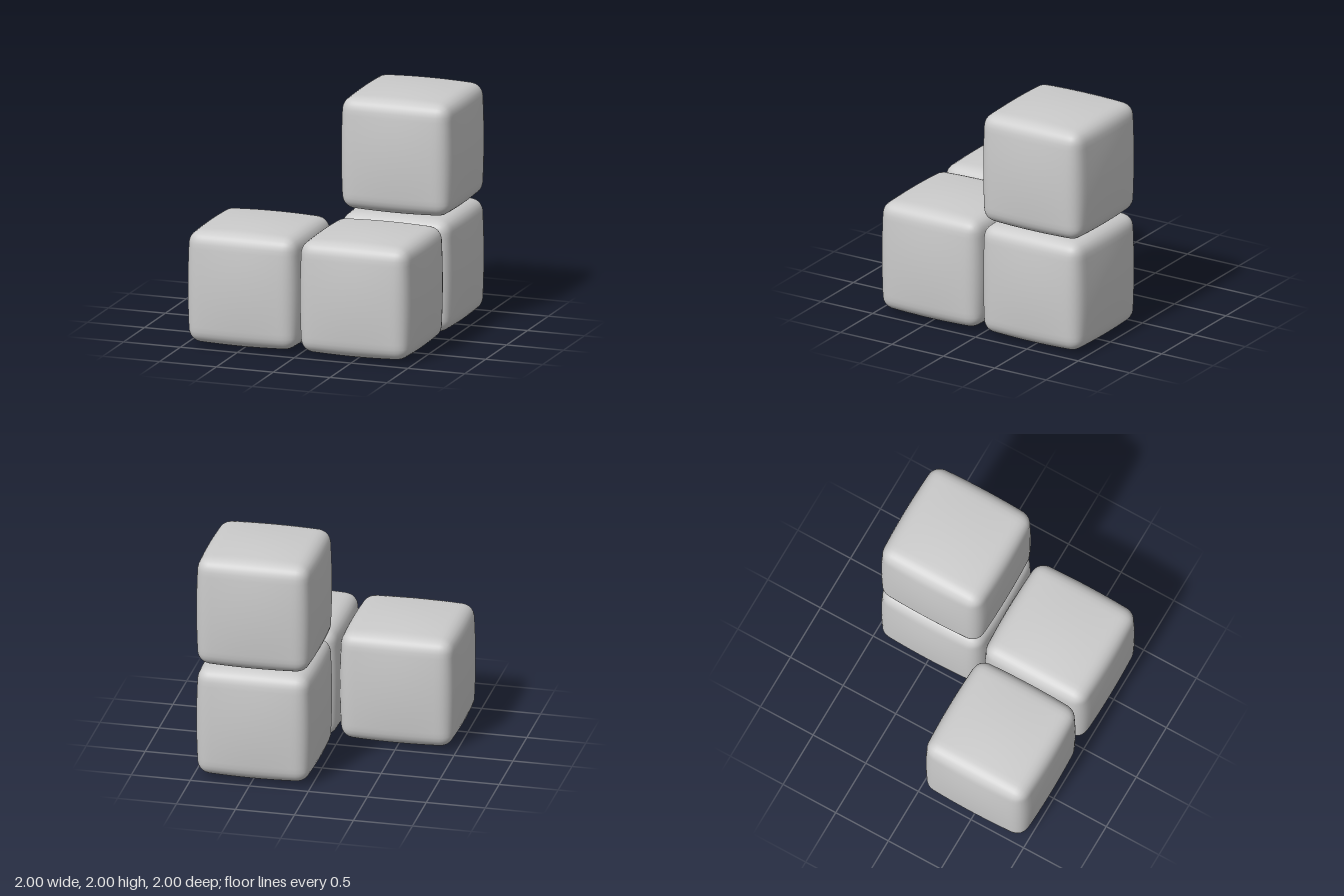
import * as THREE from 'three';
import { mergeVertices } from 'three/addons/utils/BufferGeometryUtils.js';

const HALF = 0.467;    // half size before the faces swell
const RADIUS = 0.1;    // edge rounding
const BULGE = 0.04;    // swelling at the middle of each face
const CENTRE = 0.493;  // distance of every block centre from the middle planes

// Soft cube: a rounded box whose faces swell outwards
function pillowCube() {
  let geo = new THREE.BoxGeometry(2, 2, 2, 24, 24, 24);
  geo.deleteAttribute('uv');
  geo.deleteAttribute('normal');
  geo = mergeVertices(geo, 1e-4);
  const pos = geo.attributes.position;
  const p = new THREE.Vector3();
  const core = new THREE.Vector3();
  const inner = HALF - RADIUS;
  const crowd = (t) => HALF * Math.sin((t * Math.PI) / 2); // denser rows near edges
  const fall = (t) => 1 - 0.8 * (t / HALF) ** 2;
  for (let i = 0; i < pos.count; i++) {
    p.fromBufferAttribute(pos, i);
    p.set(crowd(p.x), crowd(p.y), crowd(p.z));
    // round the edges and corners
    core.copy(p).clampScalar(-inner, inner);
    p.sub(core).setLength(RADIUS).add(core);
    // swell each axis, most at the face centres
    const { x, y, z } = p;
    const swell = (a, b, c) => a + (a / HALF) * BULGE * fall(b) * fall(c);
    pos.setXYZ(i, swell(x, y, z), swell(y, x, z), swell(z, x, y));
  }
  geo.computeVertexNormals();
  return geo;
}

export function createModel() {
  const group = new THREE.Group();
  group.name = 'cornerBlocks';
  const material = new THREE.MeshStandardMaterial({ color: 0xcccccc });
  const geo = pillowCube();

  // Three blocks in an L on the ground, one stacked on the rear block
  const blocks = [
    ['cornerBlock', 1, 0, 1],
    ['sideBlock', -1, 0, 1],
    ['rearBlock', 1, 0, -1],
    ['upperBlock', 1, 1, -1],
  ];
  for (const [name, x, level, z] of blocks) {
    const mesh = new THREE.Mesh(geo, material);
    mesh.name = name;
    mesh.position.set(x * CENTRE, HALF + BULGE + level * 2 * CENTRE, z * CENTRE);
    group.add(mesh);
  }
  return group;
}
